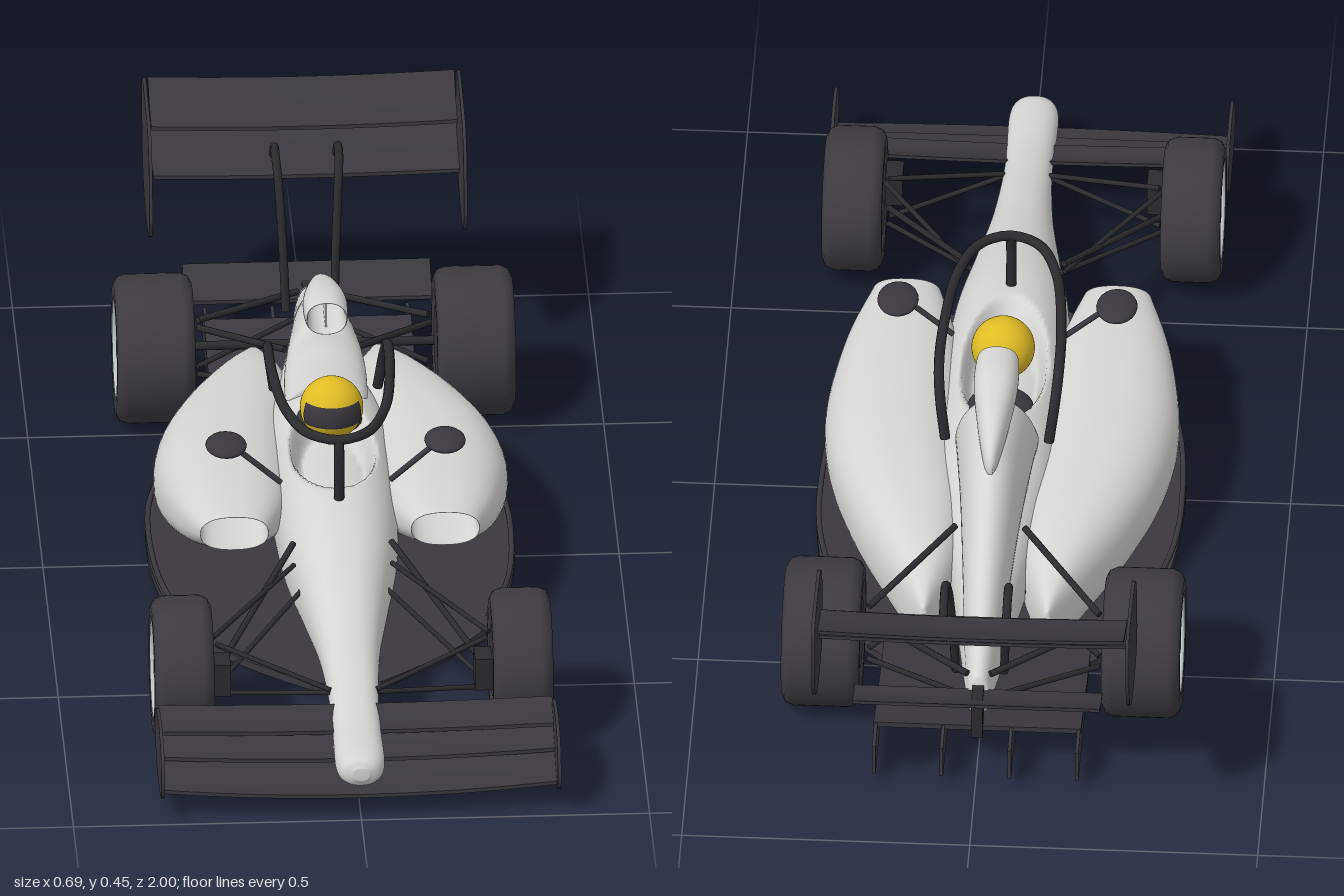
import * as THREE from 'three';

const mat = (name, color) => Object.assign(new THREE.MeshStandardMaterial({ color }), { name });
const V = (x, y, z) => new THREE.Vector3(x, y, z);

// Smooth body lofted through sections [z, centreX, halfWidth, yBottom, yTop]
function loft(sections, side = 1, n = 2.4, rule = null, steps = 80, seg = 56) {
  const A = new THREE.CatmullRomCurve3(sections.map(s => V(s[0], s[1], s[2])), false, 'catmullrom', 0.5);
  const B = new THREE.CatmullRomCurve3(sections.map(s => V(s[3], s[4], 0)), false, 'catmullrom', 0.5);
  const pos = [], idx = [];
  const pw = v => Math.sign(v) * Math.abs(v) ** (2 / n);
  for (let i = 0; i <= steps; i++) {
    const a = A.getPoint(i / steps), b = B.getPoint(i / steps);
    for (let j = 0; j < seg; j++) {
      const t = j / seg * Math.PI * 2;
      const p = V(side * a.y + a.z * pw(Math.cos(t)), (b.x + b.y) / 2 + (b.y - b.x) / 2 * pw(Math.sin(t)), a.x);
      if (rule) rule(p);
      pos.push(p.x, p.y, p.z);
    }
  }
  for (let i = 0; i < steps; i++) for (let j = 0; j < seg; j++) {
    const k = (j + 1) % seg, a = i * seg + j, b = i * seg + k, c = a + seg, d = b + seg;
    idx.push(a, c, b, b, c, d);
  }
  // end caps
  for (const [i, flip] of [[0, false], [steps, true]]) {
    const c = pos.length / 3, a = A.getPoint(i / steps), b = B.getPoint(i / steps);
    pos.push(side * a.y, (b.x + b.y) / 2, a.x);
    for (let j = 0; j < seg; j++) {
      const p = i * seg + j, q = i * seg + (j + 1) % seg;
      flip ? idx.push(c, q, p) : idx.push(c, p, q);
    }
  }
  const g = new THREE.BufferGeometry();
  g.setAttribute('position', new THREE.Float32BufferAttribute(pos, 3));
  g.setIndex(idx);
  g.computeVertexNormals();
  return g;
}

// Thin wing element running across x, sloping from front to back, with bowed front edge
function wingElement(half, zf, yf, zb, yb, bow = 0, lift = 0, thick = 0.007) {
  const g = new THREE.BoxGeometry(half * 2, thick, 1, 24, 1, 6), p = g.attributes.position;
  for (let i = 0; i < p.count; i++) {
    const t = 0.5 - p.getZ(i), u = (p.getX(i) / half) ** 2;
    p.setZ(i, zf + (zb - zf) * t - bow * u * (1 - t));
    p.setY(i, p.getY(i) + yf + (yb - yf) * t + lift * u - 0.006 * Math.sin(Math.PI * t));
  }
  g.computeVertexNormals();
  return g;
}

// Upright plate from a (z, y) outline, centred on x
function sidePlate(points, thick, x, smooth = true) {
  const v = points.map(([z, y]) => new THREE.Vector2(-z, y)), s = new THREE.Shape();
  s.setFromPoints(smooth ? new THREE.SplineCurve([...v, v[0]]).getPoints(48) : v);
  const g = new THREE.ExtrudeGeometry(s, { depth: thick, bevelEnabled: false });
  return g.translate(0, 0, -thick / 2).rotateY(Math.PI / 2).translate(x, 0, 0);
}

function strut(a, b, r) {
  const d = V(...b).sub(V(...a)), g = new THREE.CylinderGeometry(r, r, d.length(), 10);
  g.applyQuaternion(new THREE.Quaternion().setFromUnitVectors(V(0, 1, 0), d.clone().normalize()));
  return g.translate(a[0] + d.x / 2, a[1] + d.y / 2, a[2] + d.z / 2);
}

const tube = (pts, r) => new THREE.TubeGeometry(new THREE.CatmullRomCurve3(pts.map(p => V(...p))), 64, r, 10);
const lathe = pts => new THREE.LatheGeometry(pts.map(p => new THREE.Vector2(...p)), 56);

export function createModel() {
  const car = new THREE.Group();
  car.name = 'racingCar';
  const paint = mat('bodyPaint', 0xd5d5d4), carbon = mat('carbon', 0x3a383e), black = mat('blackTrim', 0x2b2b2e);
  const rubber = mat('rubber', 0x3d3b40), silver = mat('rimSilver', 0xc2c6ca), yellow = mat('helmetYellow', 0xe0bc24);
  const add = (name, g, m, parent = car) => {
    const mesh = new THREE.Mesh(g, m);
    mesh.name = name;
    parent.add(mesh);
    return mesh;
  };

  // Main body with sunken cockpit
  const scoop = p => {
    const d = Math.hypot(p.x / 0.075, (p.z - 0.05) / 0.18);
    if (p.y > 0.2 && d < 1) p.y -= 0.06 * Math.min(1, (1 - d) * 4);
  };
  add('body', loft([
    [0.998, 0, 0.014, 0.075, 0.098], [0.985, 0, 0.034, 0.06, 0.112], [0.95, 0, 0.043, 0.056, 0.118],
    [0.85, 0, 0.042, 0.065, 0.124], [0.75, 0, 0.043, 0.075, 0.141], [0.6, 0, 0.054, 0.075, 0.175],
    [0.45, 0, 0.076, 0.06, 0.215], [0.3, 0, 0.099, 0.045, 0.25], [0.15, 0, 0.109, 0.04, 0.263],
    [0, 0, 0.112, 0.035, 0.261], [-0.15, 0, 0.11, 0.035, 0.258], [-0.3, 0, 0.09, 0.04, 0.23],
    [-0.45, 0, 0.062, 0.05, 0.2], [-0.6, 0, 0.04, 0.06, 0.18], [-0.74, 0, 0.02, 0.09, 0.15],
  ], 1, 2.3, scoop, 200, 96), paint);
  add('engineCover', loft([
    [-0.135, 0, 0.07, 0.18, 0.268], [-0.175, 0, 0.072, 0.18, 0.325], [-0.215, 0, 0.068, 0.16, 0.37],
    [-0.32, 0, 0.056, 0.13, 0.362], [-0.42, 0, 0.047, 0.12, 0.312], [-0.52, 0, 0.039, 0.11, 0.26],
    [-0.63, 0, 0.031, 0.1, 0.215], [-0.74, 0, 0.018, 0.1, 0.16],
  ], 1, 2), paint);
  add('airIntake', loft([
    [-0.24, 0, 0.029, 0.376, 0.422], [-0.149, 0, 0.032, 0.371, 0.426], [-0.148, 0, 0.037, 0.366, 0.431],
    [-0.21, 0, 0.038, 0.355, 0.429], [-0.29, 0, 0.027, 0.335, 0.408], [-0.36, 0, 0.013, 0.325, 0.375],
    [-0.38, 0, 0.004, 0.33, 0.35],
  ], 1, 2.3), paint);
  add('intakeSplitter', new THREE.BoxGeometry(0.003, 0.05, 0.06).translate(0, 0.398, -0.19), paint);

  // Floor outline, symmetric
  const half = [[0.06, 0.515], [0.11, 0.475], [0.19, 0.4], [0.255, 0.31], [0.298, 0.18], [0.318, 0.02],
    [0.313, -0.16], [0.285, -0.32], [0.235, -0.44], [0.18, -0.5]];
  const edge = new THREE.SplineCurve(half.map(p => new THREE.Vector2(...p))).getPoints(40);
  const outline = [...edge, ...edge.map(p => new THREE.Vector2(-p.x, p.y)).reverse()];
  add('floor', new THREE.ExtrudeGeometry(new THREE.Shape(outline), { depth: 0.014, bevelEnabled: false })
    .rotateX(Math.PI / 2).translate(0, 0.023, 0), carbon);

  // Diffuser
  add('diffuser', wingElement(0.18, -0.44, 0.018, -0.77, 0.08, 0, 0, 0.01), carbon);
  for (const x of [-0.176, -0.059, 0.059, 0.176])
    add('diffuserFin', sidePlate([[-0.48, 0.012], [-0.83, 0.018], [-0.83, 0.078], [-0.77, 0.083]], 0.006, x, false), carbon);
  add('beamWing', wingElement(0.215, -0.735, 0.135, -0.82, 0.165), carbon);
  add('beamWingPost', new THREE.BoxGeometry(0.02, 0.08, 0.05).translate(0, 0.11, -0.76), black);

  // Front wing, three overlapping elements
  add('frontWingMain', wingElement(0.342, 0.987, 0.04, 0.89, 0.066, 0.018, 0.008), carbon);
  add('frontWingFlap', wingElement(0.342, 0.915, 0.074, 0.835, 0.096, 0.01, 0.006), carbon);
  add('frontWingUpperFlap', wingElement(0.342, 0.86, 0.1, 0.79, 0.117, 0, 0.006), carbon);

  // Rear wing
  add('rearWingMain', wingElement(0.266, -0.8, 0.343, -0.915, 0.375, 0, 0.004), carbon);
  add('rearWingFlap', wingElement(0.266, -0.875, 0.399, -0.988, 0.439, 0, 0.006), carbon);

  // Halo
  const arc = [[0.09, 0.25, -0.172], [0.1, 0.325, -0.152], [0.104, 0.361, -0.115], [0.102, 0.367, 0], [0.085, 0.368, 0.15], [0.05, 0.366, 0.235]];
  add('halo', tube([...arc, [0, 0.365, 0.26], ...arc.map(([x, y, z]) => [-x, y, z]).reverse()], 0.009), black);
  add('haloPillar', tube([[0, 0.365, 0.26], [0, 0.33, 0.267], [0, 0.245, 0.265]], 0.009), black);

  // Driver helmet and headrest
  const helmet = new THREE.Group();
  helmet.name = 'helmet';
  helmet.position.set(0, 0.307, 0.018);
  car.add(helmet);
  add('helmetShell', new THREE.SphereGeometry(0.055, 40, 28), yellow, helmet);
  add('visor', new THREE.SphereGeometry(0.0562, 32, 12, 0.48, Math.PI - 0.96, 1.15, 0.72), carbon, helmet);
  add('headrest', new THREE.SphereGeometry(1, 24, 16).scale(0.058, 0.02, 0.055).translate(0, 0.242, -0.068), carbon);

  for (const s of [-1, 1]) {
    // Sidepods with hollow inlets
    add('sidepod', loft([
      [0.12, 0.18, 0.053, 0.182, 0.228], [0.277, 0.183, 0.058, 0.174, 0.234], [0.278, 0.183, 0.064, 0.169, 0.239],
      [0.16, 0.184, 0.1, 0.115, 0.243], [0, 0.185, 0.122, 0.06, 0.24], [-0.14, 0.172, 0.12, 0.045, 0.233],
      [-0.28, 0.143, 0.102, 0.04, 0.22], [-0.4, 0.12, 0.066, 0.04, 0.2], [-0.49, 0.11, 0.026, 0.05, 0.17],
      [-0.53, 0.107, 0.006, 0.08, 0.15],
    ], s, 2.4), paint);
    add('floorEdge', tube([[s * 0.255, 0.033, 0.3], [s * 0.297, 0.033, 0.16], [s * 0.313, 0.033, 0], [s * 0.307, 0.033, -0.17], [s * 0.255, 0.033, -0.38]], 0.005), carbon);

    // Wing end plates and swan-neck supports
    add('frontEndPlate', sidePlate([[0.785, 0.075], [0.795, 0.12], [0.84, 0.138], [0.93, 0.142], [0.985, 0.115],
      [0.995, 0.06], [0.96, 0.036], [0.84, 0.034]], 0.006, s * 0.344), carbon);
    add('rearEndPlate', sidePlate([[-0.738, 0.29], [-0.755, 0.385], [-0.8, 0.435], [-0.88, 0.447], [-0.975, 0.452],
      [-0.997, 0.42], [-0.98, 0.32], [-0.925, 0.262], [-0.85, 0.243], [-0.765, 0.25]], 0.006, s * 0.273), carbon);
    add('rearWingSupport', tube([[s * 0.042, 0.14, -0.685], [s * 0.046, 0.25, -0.71], [s * 0.052, 0.36, -0.745], [s * 0.055, 0.393, -0.775],
      [s * 0.055, 0.392, -0.82], [s * 0.055, 0.36, -0.855]], 0.0075), black);

    // Mirrors
    add('mirror', new THREE.SphereGeometry(1, 20, 14).scale(0.036, 0.012, 0.048).translate(s * 0.19, 0.304, 0.148), carbon);
    add('mirrorStalk', strut([s * 0.095, 0.23, 0.15], [s * 0.175, 0.3, 0.15], 0.005), carbon);

    // Suspension arms
    for (const [a, b, r] of [
      [[0.085, 0.222, 0.37], [0.235, 0.115, 0.65], 0.0055], [[0.04, 0.125, 0.745], [0.235, 0.175, 0.655], 0.0045],
      [[0.085, 0.19, 0.39], [0.24, 0.178, 0.64], 0.0045], [[0.04, 0.12, 0.745], [0.235, 0.085, 0.665], 0.0045],
      [[0.07, 0.16, 0.42], [0.235, 0.085, 0.645], 0.0045],
      [[0.06, 0.22, -0.38], [0.2, 0.175, -0.56], 0.006], [[0.02, 0.16, -0.72], [0.2, 0.175, -0.59], 0.006],
      [[0.05, 0.13, -0.42], [0.2, 0.085, -0.56], 0.005], [[0.02, 0.11, -0.72], [0.2, 0.085, -0.59], 0.005],
      [[0.03, 0.13, -0.58], [0.21, 0.13, -0.58], 0.008],
    ]) add('suspensionArm', strut([s * a[0], a[1], a[2]], [s * b[0], b[1], b[2]], r), black);
    add('brakeDuct', new THREE.BoxGeometry(0.03, 0.06, 0.05).translate(s * 0.227, 0.135, 0.695), black);

    // Wheels: axis along local y, outer face at +y
    for (const [name, x, z, w, R] of [['frontWheel', 0.294, 0.655, 0.104, 0.126], ['rearWheel', 0.278, -0.576, 0.136, 0.13]]) {
      const wheel = new THREE.Group(), h = w / 2;
      wheel.name = name;
      wheel.position.set(s * x, 0.13, z);
      wheel.rotation.z = -s * Math.PI / 2;
      car.add(wheel);
      add('tyre', lathe([[0.086, -h + 0.006], [0.092, -h], [R - 0.018, -h], [R - 0.006, -h + 0.006], [R, -h + 0.02],
        [R, h - 0.02], [R - 0.006, h - 0.006], [R - 0.018, h], [0.092, h], [0.086, h - 0.006]]), rubber, wheel);
      add('rimBarrel', lathe([[0.087, h - 0.005], [0.08, h - 0.02], [0.08, -h + 0.015], [0.087, -h + 0.005]]), silver, wheel);
      add('rimLip', new THREE.TorusGeometry(0.084, 0.005, 8, 56).rotateX(Math.PI / 2).translate(0, h - 0.006, 0), silver, wheel);
      add('brakeDrum', new THREE.CylinderGeometry(0.062, 0.062, w - 0.04, 32).translate(0, -0.018, 0), carbon, wheel);
      add('hub', new THREE.CylinderGeometry(0.016, 0.02, 0.02, 24).translate(0, h - 0.014, 0), silver, wheel);
      // paired spokes
      for (let i = 0; i < 20; i++) {
        const spoke = new THREE.BoxGeometry(0.068, 0.01, 0.008).translate(0.049, h - 0.014, 0);
        const angle = (Math.floor(i / 2) + (i % 2 ? 0.2 : -0.2)) / 10 * Math.PI * 2;
        add('spoke', spoke.rotateY(angle), silver, wheel);
      }
    }
  }
  return car;
}
